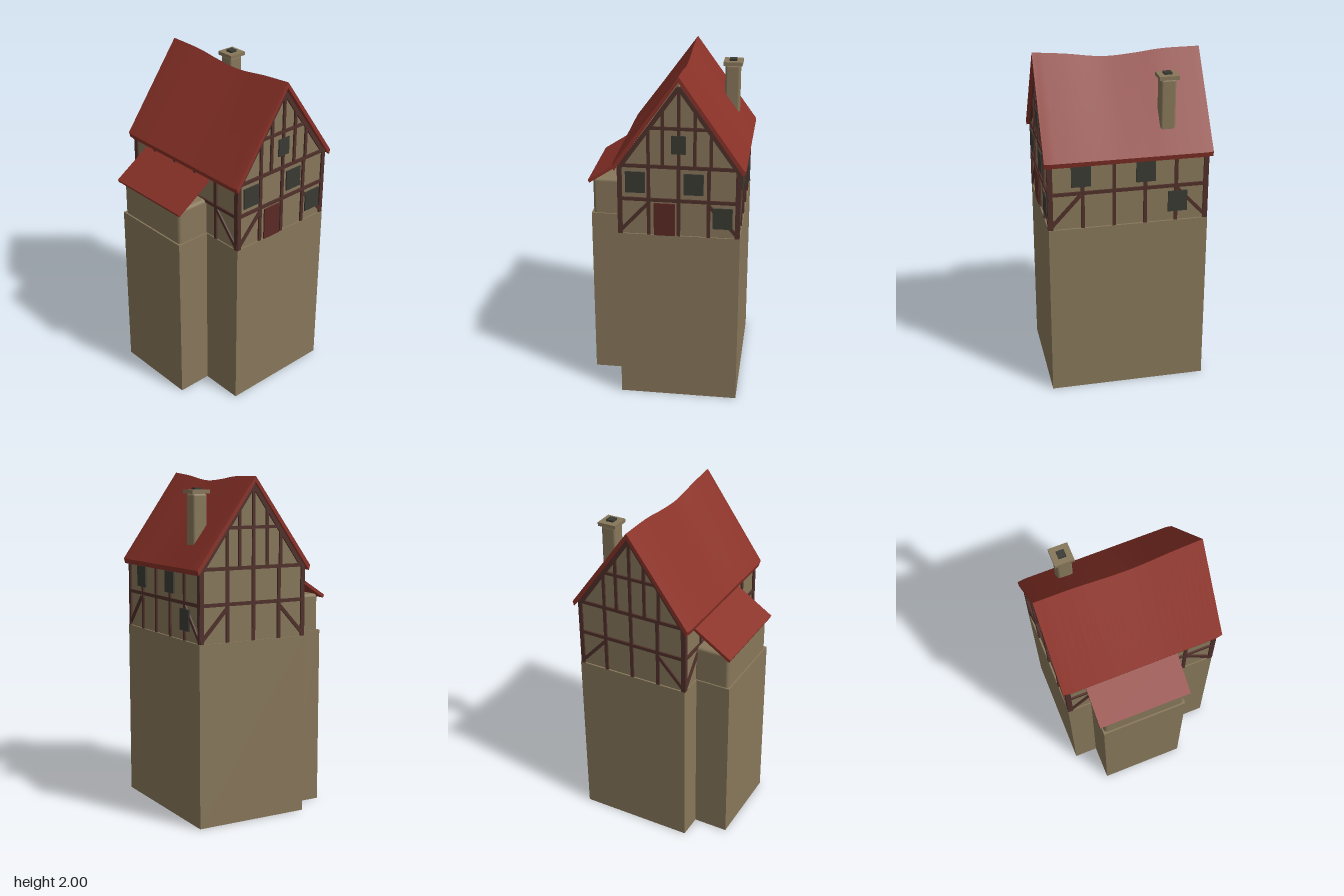
import * as THREE from 'three';
import { toCreasedNormals } from 'three/addons/utils/BufferGeometryUtils.js';
import { RoundedBoxGeometry } from 'three/addons/geometries/RoundedBoxGeometry.js';

const mat = (name, color) => {
  const m = new THREE.MeshStandardMaterial({ color });
  m.name = name;
  return m;
};

export function createModel() {
  const plaster = mat('plaster', 0x87775a);
  const tile = mat('roofTile', 0x8a3228);
  const timber = mat('timber', 0x50302a);
  const doorWood = mat('doorWood', 0x5a2a24);
  const glass = mat('darkGlass', 0x3a3a34);

  const model = new THREE.Group();
  const CX = 0.095; // centre line of the house
  const SLOPE = 1.41;

  const add = (parent, name, geo, material, x = 0, y = 0, z = 0) => {
    const mesh = new THREE.Mesh(geo, material);
    mesh.name = name;
    mesh.position.set(x, y, z);
    parent.add(mesh);
    return mesh;
  };
  // Box given by its limits
  const block = (parent, name, material, x0, x1, y0, y1, z0, z1, round = 0) => {
    const s = [x1 - x0, y1 - y0, z1 - z0];
    const geo = round ? new RoundedBoxGeometry(...s, 2, round) : new THREE.BoxGeometry(...s);
    return add(parent, name, geo, material, (x0 + x1) / 2, (y0 + y1) / 2, (z0 + z1) / 2);
  };

  // Tall foundations and walls
  block(model, 'foundation', plaster, -0.25, 0.445, 0, 1.06, -0.465, 0.463);
  block(model, 'shedFoundation', plaster, -0.46, -0.25, 0, 1.06, -0.32, 0.2);
  block(model, 'houseWalls', plaster, CX - 0.338, CX + 0.338, 1.05, 1.465, -0.455, 0.455);
  block(model, 'shedWalls', plaster, -0.45, -0.23, 1.03, 1.28, -0.312, 0.192, 0.02);

  // Gable walls
  const gable = new THREE.Shape([
    new THREE.Vector2(-0.338, 1.46), new THREE.Vector2(0.338, 1.46),
    new THREE.Vector2(0.338, 1.468), new THREE.Vector2(0, 1.945), new THREE.Vector2(-0.338, 1.468),
  ]);
  for (const z of [-0.455, 0.425]) {
    add(model, 'gableWall', new THREE.ExtrudeGeometry(gable, { depth: 0.03, bevelEnabled: false }), plaster, CX, 0, z);
  }

  // Timber frame on each wall, drawn in the wall's own plane
  const facade = (name, x, z, turn) => {
    const g = new THREE.Group();
    g.name = name;
    g.position.set(x, 0, z);
    g.rotation.y = turn;
    model.add(g);
    return g;
  };
  const beam = (g, name, u0, v0, u1, v1, w = 0.02) => {
    const len = Math.hypot(u1 - u0, v1 - v0);
    const mesh = add(g, name, new THREE.BoxGeometry(len, w, 0.02), timber, (u0 + u1) / 2, (v0 + v1) / 2, 0);
    mesh.rotation.z = Math.atan2(v1 - v0, u1 - u0);
  };
  const plate = (g, name, material, u, v, w, h) =>
    add(g, name, new THREE.BoxGeometry(w, h, 0.008), material, u, v, 0.009);

  const frame = (g, half, posts, top) => {
    beam(g, 'middleRail', -half, 1.275, half, 1.275);
    for (const u of posts) beam(g, 'post', u, 1.06, u, top);
    for (const s of [-1, 1]) {
      beam(g, 'cornerPost', s * (half - 0.012), 1.06, s * (half - 0.012), top, 0.025);
      beam(g, 'brace', s * (half - 0.01), 1.075, s * (half - 0.18), 1.26);
    }
  };
  const gableFrame = (g) => {
    beam(g, 'topRail', -0.345, 1.475, 0.345, 1.475);
    beam(g, 'collarRail', -0.165, 1.7, 0.165, 1.7, 0.018);
    for (const u of [-0.17, -0.09, 0, 0.09, 0.18]) {
      beam(g, 'gablePost', u, 1.475, u, 1.935 - SLOPE * Math.abs(u), 0.018);
    }
    for (const s of [-1, 1]) beam(g, 'rafter', s * 0.335, 1.46, 0, 1.932, 0.024);
  };

  const front = facade('frontFrame', CX, 0.455, 0);
  const back = facade('backFrame', CX, -0.455, Math.PI);
  const right = facade('sideFrame', CX + 0.338, 0, Math.PI / 2);
  const left = facade('shedSideFrame', CX - 0.338, 0, -Math.PI / 2);
  for (const g of [front, back]) gableFrame(g);
  frame(front, 0.345, [-0.17, 0.17], 1.47);
  beam(front, 'post', 0, 1.06, 0, 1.47);
  frame(back, 0.345, [-0.17, 0, 0.17], 1.47);
  for (const g of [right, left]) frame(g, 0.46, [-0.265, -0.085, 0.095, 0.275], 1.46);

  // Windows and door
  for (const [u, v] of [[-0.245, 1.378], [0.085, 1.378], [0.25, 1.18]]) plate(front, 'window', glass, u, v, 0.112, 0.125);
  plate(front, 'gableWindow', glass, 0, 1.608, 0.08, 0.105);
  plate(front, 'door', doorWood, -0.08, 1.158, 0.12, 0.196);
  for (const [u, v] of [[-0.274, 1.378], [0.097, 1.378], [0.284, 1.18]]) plate(right, 'window', glass, u, v, 0.112, 0.125);

  // Main roof: cross-sections along z under a sagging ridge
  const ridge = new THREE.CatmullRomCurve3([
    [0.482, 2.0], [0.3, 1.983], [0.08, 1.955], [-0.1, 1.964], [-0.25, 1.98], [-0.482, 1.983],
  ].map(([z, y]) => new THREE.Vector3(0, y, z)));
  const pos = [];
  const index = [];
  const N = 28;
  const thick = 0.033;
  for (let i = 0; i <= N; i++) {
    const { y, z } = ridge.getPoint(i / N);
    const e = i === 0 || i === N ? 0.37 : 0.376; // slightly clipped corners
    const eave = 1.474;
    pos.push(
      -e, eave, z, 0, y, z, e, eave, z,
      e - 0.008, eave - thick + 0.004, z, 0, y - thick, z, -e + 0.008, eave - thick + 0.004, z,
    );
    if (i === N) break;
    for (let k = 0; k < 6; k++) {
      const a = i * 6 + k, b = i * 6 + (k + 1) % 6;
      index.push(a, b, a + 6, b, b + 6, a + 6);
    }
  }
  const cap = [0, 5, 4, 0, 4, 1, 1, 4, 3, 1, 3, 2];
  index.push(...cap);
  for (let i = 0; i < cap.length; i += 3) index.push(cap[i] + N * 6, cap[i + 2] + N * 6, cap[i + 1] + N * 6);
  // Sections run from front to back, so each quad is flipped to face outward
  const roofGeo = new THREE.BufferGeometry();
  roofGeo.setAttribute('position', new THREE.Float32BufferAttribute(pos, 3));
  roofGeo.setIndex(index);
  add(model, 'mainRoof', toCreasedNormals(roofGeo, 0.5), tile, CX, 0, 0);

  // Lean-to roof over the shed
  const shedRoof = new THREE.Shape([
    new THREE.Vector2(-0.474, 1.275), new THREE.Vector2(-0.235, 1.431),
    new THREE.Vector2(-0.235, 1.41), new THREE.Vector2(-0.466, 1.258),
  ]);
  add(model, 'shedRoof', new THREE.ExtrudeGeometry(shedRoof, { depth: 0.56, bevelEnabled: false }), tile, 0, 0, -0.345);

  // Chimney
  block(model, 'chimneyShaft', plaster, 0.29, 0.38, 1.5, 1.885, -0.28, -0.192, 0.014);
  block(model, 'chimneyCap', plaster, 0.28, 0.392, 1.884, 1.906, -0.293, -0.18);
  block(model, 'chimneyFlue', glass, 0.313, 0.357, 1.9, 1.918, -0.259, -0.214);

  return model;
}
